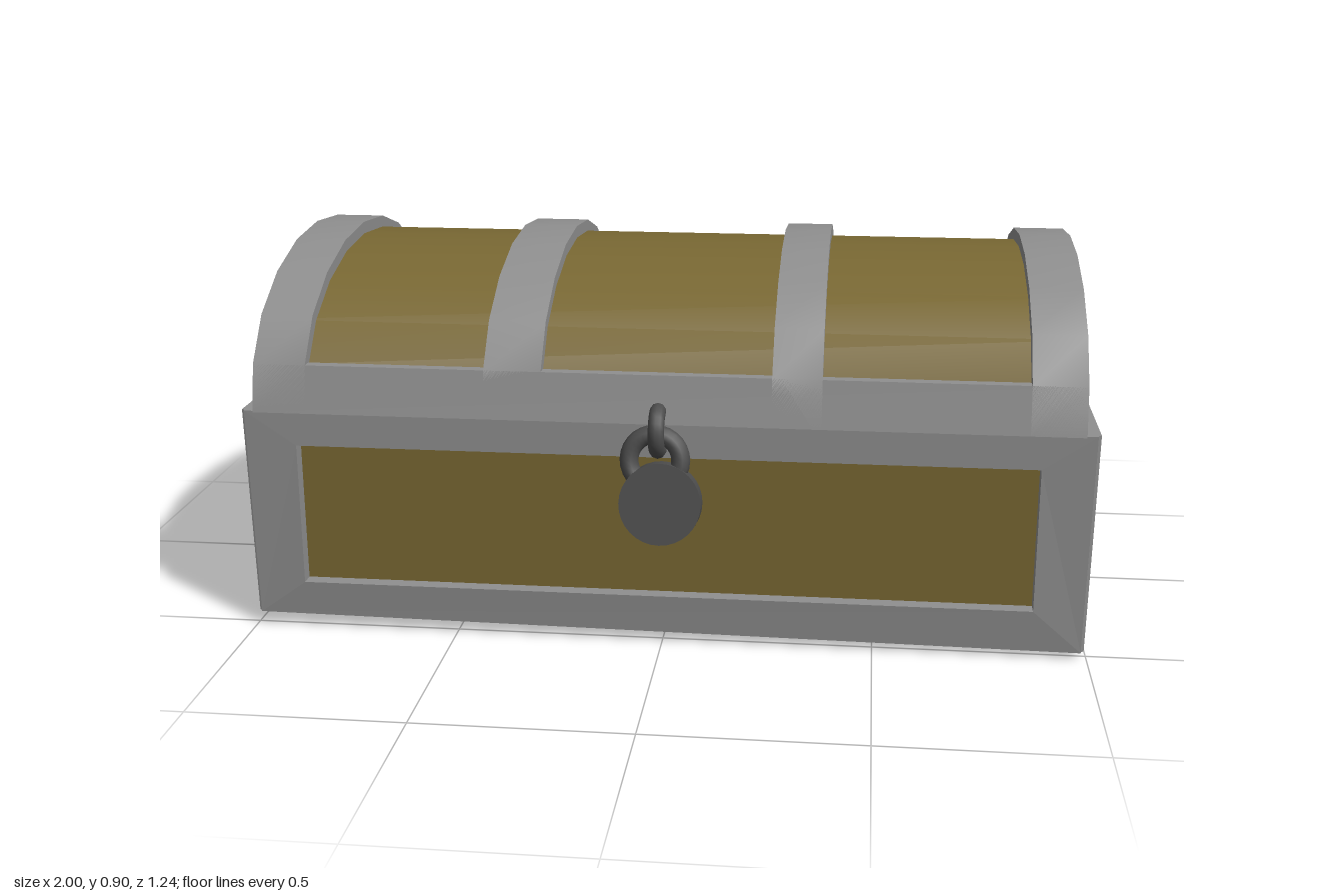
import * as THREE from 'three';
import { toCreasedNormals } from 'three/addons/utils/BufferGeometryUtils.js';

const frameMat = new THREE.MeshStandardMaterial({ color: 0x8f8f8f });
const woodMat = new THREE.MeshStandardMaterial({ color: 0x796833 });
const ironMat = new THREE.MeshStandardMaterial({ color: 0x4d4d4d });

function add(parent, name, geometry, material) {
  const mesh = new THREE.Mesh(geometry, material);
  mesh.name = name;
  parent.add(mesh);
}

// Box given by its limits
function block(x0, x1, y0, y1, z0, z1, zSegments = 1) {
  return new THREE.BoxGeometry(x1 - x0, y1 - y0, z1 - z0, 1, 1, zSegments)
    .translate((x0 + x1) / 2, (y0 + y1) / 2, (z0 + z1) / 2);
}

const rect = (a0, a1, b0, b1) => [[a0, b0], [a1, b0], [a1, b1], [a0, b1]];
const toPoints = (pts) => pts.map(([a, b]) => new THREE.Vector2(a, b));
const mirrored = (pts) => toPoints(pts.map(([a, b]) => [-a, b]).reverse());

function extrude(pts, depth, hole) {
  const shape = new THREE.Shape(pts);
  if (hole) shape.holes.push(new THREE.Path(hole));
  return new THREE.ExtrudeGeometry(shape, { depth, bevelEnabled: false });
}

// Outline in (z, y), swept along x
function prism(pts, x0, x1, hole) {
  const g = extrude(mirrored(pts), x1 - x0, hole && mirrored(hole));
  return toCreasedNormals(g.rotateY(Math.PI / 2).translate(x0, 0, 0), 0.6);
}

// Chamfers the upright corners, draws the foot in a little and lets one corner sag
function settle(g, side) {
  const p = g.attributes.position;
  for (let i = 0; i < p.count; i++) {
    let x = p.getX(i), y = p.getY(i), z = p.getZ(i);
    if (side === 'end' && Math.abs(x) > 0.99 && Math.abs(z) > 0.5) z *= 0.98;
    if (side === 'long' && Math.abs(x) > 0.95 && (z > 0.52 || z < -0.56)) x *= 0.992;
    if (y < 0.05) {
      if (x > 0.9 && z > 0.4) y -= 0.018;
      x *= 0.994;
      z *= 0.985;
    }
    p.setXYZ(i, x, y, z);
  }
  g.computeVertexNormals();
  return g;
}

function buildBody() {
  const body = new THREE.Group();
  body.name = 'body';
  const y0 = 0.035, y1 = 0.55, t = 0.035;
  const back = -0.57, front = 0.53, bend = 0.163;

  add(body, 'woodPanels', block(-0.965, 0.965, 0.08, 0.54, back + t, front - t), woodMat);

  // Framed plates on the long sides
  const longHole = toPoints(rect(-0.87, 0.87, 0.12, 0.467));
  for (const [name, z] of [['frontFrame', front - t], ['backFrame', back]]) {
    const g = extrude(toPoints(rect(-1, 1, y0, y1)), t, longHole).translate(0, 0, z);
    add(body, name, settle(g, 'long'), frameMat);
  }
  // Framed plates on the ends
  const endOutline = [[back, y0], [bend, y0], [front, y0], [front, y1], [back, y1]];
  const endHole = rect(-0.413, 0.375, 0.12, 0.467);
  for (const [name, x] of [['leftFrame', 1 - t], ['rightFrame', -1]])
    add(body, name, settle(prism(endOutline, x, x + t, endHole), 'end'), frameMat);

  // Underside
  const plate = block(-0.99, 0.99, y0, 0.045, back, front, 3).toNonIndexed();
  add(body, 'bottomPlate', settle(plate, 'bottom'), frameMat);
  add(body, 'bottomPanel', block(-0.88, 0.88, 0.032, 0.04, -0.42, -0.11), woodMat);
  const foot = prism([[0.505, 0.012], [0.375, 0], [0.375, 0.03], [0.505, 0.03]], 0, 0.115)
    .applyMatrix4(new THREE.Matrix4().makeShear(0.13, 0, 0, 0, 0, 0))
    .translate(0.87, 0, 0);
  add(body, 'cornerFoot', foot, frameMat);
  return body;
}

function buildLid() {
  const lid = new THREE.Group();
  lid.name = 'lid';
  const base = 0.551;
  const outer = [[0.545, base], [0.52, 0.662], [0.44, 0.763], [0.31, 0.84], [0.15, 0.888],
    [-0.02, 0.903], [-0.195, 0.888], [-0.35, 0.84], [-0.48, 0.763], [-0.565, 0.662], [-0.595, base]];
  const inner = outer.map(([z, y]) => [-0.025 + (z + 0.025) * 0.95, base + (y - base) * 0.915]);

  add(lid, 'woodDome', prism(inner, -0.96, 0.96), woodMat);

  // Arched bands over the dome
  const arch = [...outer, ...[...inner].reverse()];
  for (const [x0, x1] of [[-0.965, -0.84], [-0.415, -0.28], [0.255, 0.37], [0.84, 0.965]])
    add(lid, 'band', prism(arch, x0, x1), frameMat);

  // Rails along the front and back edges
  const n = outer.length - 1;
  for (const [name, a, b] of [['frontRail', 0, 1], ['backRail', n, n - 1]]) {
    const ledge = [inner[b][0], outer[b][1]];
    add(lid, name, prism([outer[a], outer[b], ledge, inner[a]], -0.965, 0.965), frameMat);
  }
  return lid;
}

function buildHinge(x) {
  const hinge = new THREE.Group();
  hinge.name = 'hinge';
  const w = 0.06;
  add(hinge, 'upperLeaf',
    prism([[-0.565, 0.635], [-0.592, 0.635], [-0.62, 0.56], [-0.575, 0.55]], x - w, x + w), ironMat);
  add(hinge, 'lowerLeaf', block(x - w, x + w, 0.475, 0.56, -0.605, -0.565), ironMat);
  return hinge;
}

function buildPadlock() {
  const group = new THREE.Group();
  group.name = 'padlock';

  // Ring fixed to the lid
  add(group, 'staple', new THREE.TorusGeometry(0.047, 0.019, 10, 24)
    .rotateY(Math.PI / 2).translate(-0.005, 0.535, 0.535), ironMat);

  // Lock hanging at a slant
  const lock = new THREE.Group();
  lock.name = 'lock';
  add(lock, 'lockBody',
    new THREE.CylinderGeometry(0.095, 0.095, 0.048, 32).rotateX(Math.PI / 2), ironMat);
  add(lock, 'shackle',
    new THREE.TorusGeometry(0.06, 0.022, 10, 28).translate(-0.015, 0.1, 0), ironMat);
  lock.position.set(0.005, 0.373, 0.58);
  lock.rotation.x = -0.19;
  group.add(lock);
  return group;
}

export function createModel() {
  const chest = new THREE.Group();
  chest.name = 'chest';
  chest.add(buildBody(), buildLid(), buildHinge(-0.54), buildHinge(0.495), buildPadlock());
  return chest;
}
